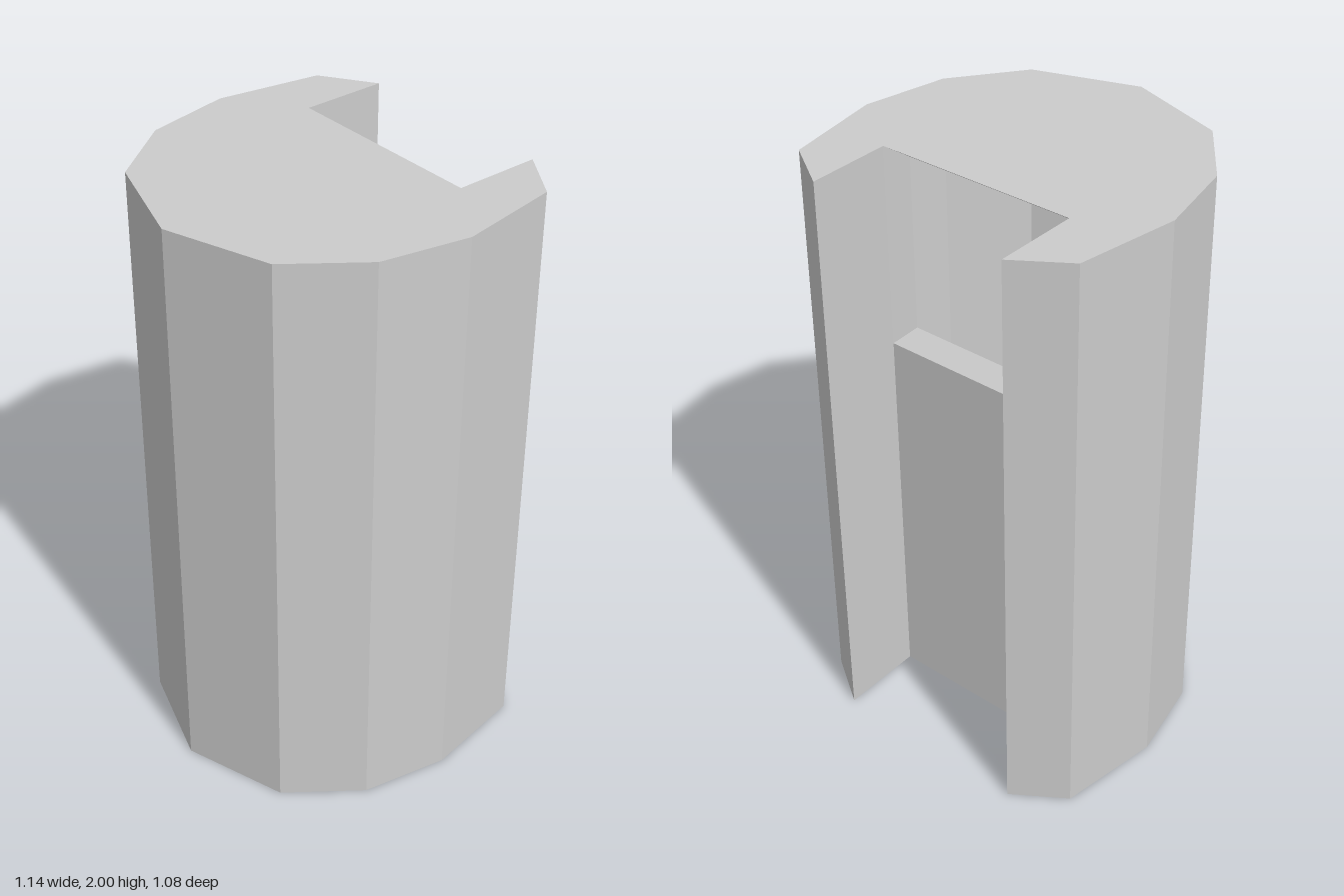
import * as THREE from 'three';

const HEIGHT = 2;
const SILL = 1.32;      // bottom of the window in the recess
const RECESS_X = 0.343; // half width of the recess
const RECESS_Z = -0.257;

const material = new THREE.MeshStandardMaterial({
  color: 0xcccccc, flatShading: true, side: THREE.DoubleSide,
});

// Mesh from a list of four-cornered faces, corners counter-clockwise
function quadMesh(name, quads) {
  const points = quads.flatMap(([a, b, c, d]) => [a, b, c, a, c, d]).flat();
  const geometry = new THREE.BufferGeometry();
  geometry.setAttribute('position', new THREE.Float32BufferAttribute(points, 3));
  geometry.computeVertexNormals();
  const mesh = new THREE.Mesh(geometry, material);
  mesh.name = name;
  return mesh;
}

// Upright wall between two plan points [x, z]
const wall = ([ax, az], [bx, bz], y0, y1) =>
  [[ax, y0, az], [bx, y0, bz], [bx, y1, bz], [ax, y1, az]];

export function createModel() {
  const group = new THREE.Group();
  group.name = 'recessedShell';

  // Plan outline: right half from the back to the front, then mirrored
  const half = [[-RECESS_X, -0.543], [-0.514, -0.43], [-0.571, -0.086],
    [-0.514, 0.2], [-RECESS_X, 0.427]];
  const mirrored = half.map(([x, z]) => [-x, z]).reverse();
  const outer = [...half, [0, 0.541], ...mirrored];
  const cornerL = [RECESS_X, RECESS_Z], cornerR = [-RECESS_X, RECESS_Z];

  // Faceted outer skin, open underneath
  group.add(quadMesh('outerWall',
    outer.slice(1).map((p, i) => wall(outer[i], p, 0, HEIGHT))));

  // Recess: two full-height sides and a back panel below the window
  group.add(quadMesh('recessSides', [
    wall(outer[outer.length - 1], cornerL, 0, HEIGHT),
    wall(cornerR, outer[0], 0, HEIGHT),
  ]));
  group.add(quadMesh('recessPanel', [wall(cornerL, cornerR, 0, SILL)]));

  // Bevelled frame sloping inward around the window
  const inset = 0.045, depth = 0.063;
  const rim = (d, z) => [
    [RECESS_X - d, SILL + d, z], [-RECESS_X + d, SILL + d, z],
    [-RECESS_X + d, HEIGHT - d, z], [RECESS_X - d, HEIGHT - d, z],
  ];
  const rimOut = rim(0, RECESS_Z), rimIn = rim(inset, RECESS_Z + depth);
  group.add(quadMesh('windowFrame', rimOut.map((p, i) => {
    const j = (i + 1) % 4;
    return [p, rimOut[j], rimIn[j], rimIn[i]];
  })));

  // Flat top following the whole plan
  const plan = [...outer, cornerL, cornerR].map(([x, z]) => new THREE.Vector2(x, -z));
  const top = new THREE.Mesh(
    new THREE.ShapeGeometry(new THREE.Shape(plan)).rotateX(-Math.PI / 2), material);
  top.position.y = HEIGHT;
  top.name = 'top';
  group.add(top);

  return group;
}
